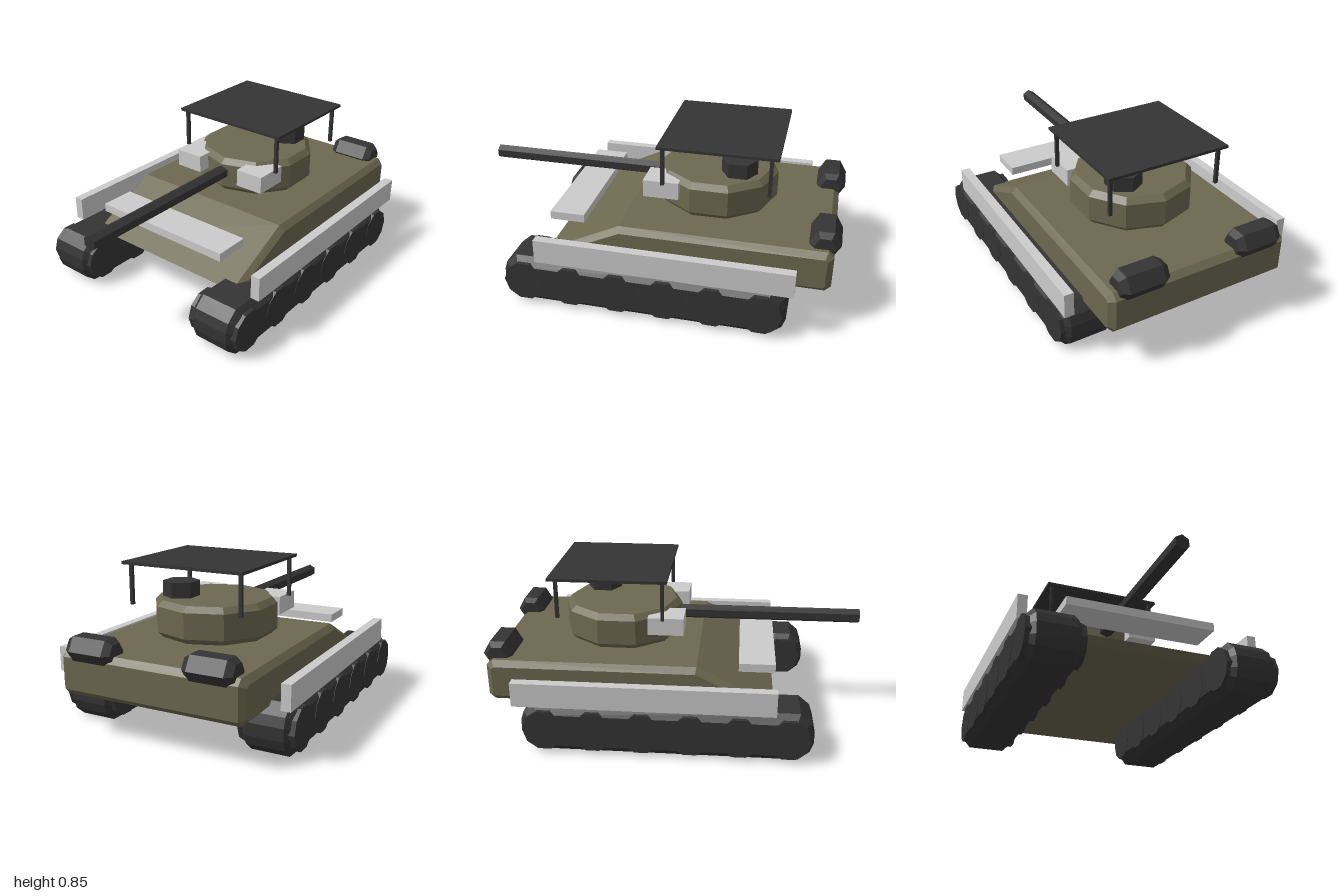
import * as THREE from 'three';
import { ConvexGeometry } from 'three/addons/geometries/ConvexGeometry.js';

const mat = (color) => new THREE.MeshStandardMaterial({ color, flatShading: true });

// Convex side profile ([z, y], counter-clockwise) widened along x, with its side edges bevelled.
function bevelledPrism(profile, halfWidth, bevel) {
  const pts = profile.map(([z, y]) => new THREE.Vector2(z, y));
  const out = [];
  pts.forEach((p, i) => {
    const d1 = p.clone().sub(pts[(i + pts.length - 1) % pts.length]).normalize();
    const d2 = pts[(i + 1) % pts.length].clone().sub(p).normalize();
    const inset = d2.clone().sub(d1).multiplyScalar(bevel / d1.cross(d2)).add(p);
    for (const s of [-1, 1]) {
      out.push(new THREE.Vector3(s * (halfWidth - bevel), p.y, p.x));
      out.push(new THREE.Vector3(s * halfWidth, inset.y, inset.x));
    }
  });
  return new ConvexGeometry(out);
}

// Faceted solid of revolution about y, from [radius, y] points.
const turned = (profile, sides) =>
  new THREE.LatheGeometry(profile.map(([r, y]) => new THREE.Vector2(r, y)), sides);

const prism = (r, length, sides) =>
  turned([[0, -length / 2], [r, -length / 2], [r, length / 2], [0, length / 2]], sides);

export function createModel() {
  const model = new THREE.Group();
  const olive = mat(0x6c6850), dark = mat(0x343434), grey = mat(0xcccccc);

  const add = (name, geometry, material, x = 0, y = 0, z = 0, parent = model) => {
    const mesh = new THREE.Mesh(geometry, material);
    mesh.name = name;
    mesh.position.set(x, y, z);
    parent.add(mesh);
    return mesh;
  };
  // Box given by its limits on each axis.
  const box = (name, material, x0, x1, y0, y1, z0, z1) =>
    add(name, new THREE.BoxGeometry(x1 - x0, y1 - y0, z1 - z0), material,
      (x0 + x1) / 2, (y0 + y1) / 2, (z0 + z1) / 2);

  // Hull with a sloping front
  add('hull', bevelledPrism([
    [-0.94, 0.215], [0.48, 0.215], [0.53, 0.245], [0.13, 0.44],
    [-0.94, 0.44], [-0.97, 0.41], [-0.97, 0.245],
  ], 0.51, 0.03), olive);
  box('frontPlate', grey, -0.41, 0.41, 0.39, 0.435, 0.345, 0.535);

  // Ten-sided turret with bevelled rims
  add('turret', turned([
    [0, 0.445], [0.298, 0.445], [0.328, 0.475], [0.328, 0.61], [0.298, 0.64], [0, 0.64],
  ], 10), olive, 0, 0, -0.308);
  add('gunBarrel', prism(0.04, 1.02, 6).rotateX(Math.PI / 2), dark, 0, 0.56, 0.49);
  add('hatch', prism(0.096, 0.08, 6), dark, 0.13, 0.69, -0.44);

  // Roof canopy
  box('canopy', dark, -0.342, 0.342, 0.83, 0.845, -0.66, -0.035);

  // Track loop, one end mirrored to the other
  const end = [[0.677, 0], [0.735, 0.05], [0.752, 0.1], [0.752, 0.165], [0.735, 0.215], [0.677, 0.265]];
  const loop = [...end, ...end.map(([z, y]) => [-z, 0.265 - y])];
  const trackGeometry = bevelledPrism(loop, 0.145, 0.045);
  const wheelGeometry = prism(0.112, 0.295, 10).rotateZ(Math.PI / 2);
  const drumGeometry = turned([
    [0, -0.13], [0.055, -0.13], [0.08, -0.095], [0.08, 0.095], [0.055, 0.13], [0, 0.13],
  ], 6).rotateZ(Math.PI / 2);

  for (const s of [-1, 1]) {
    const side = s > 0 ? 'left' : 'right';
    const sideBox = (name, material, x0, x1, ...rest) =>
      box(side + name, material, Math.min(s * x0, s * x1), Math.max(s * x0, s * x1), ...rest);

    // Running gear: wheels show through the bevel of the track
    const gear = new THREE.Group();
    gear.name = side + 'RunningGear';
    gear.position.set(s * 0.5075, 0, -0.017);
    model.add(gear);
    add(side + 'Track', trackGeometry, dark, 0, 0, 0, gear);
    for (let i = 0; i < 6; i++)
      add(side + 'Wheel', wheelGeometry, dark, 0, 0.1325, 0.625 - i * 0.25, gear);

    // Armour skirt, turret cheek block, rear drum and canopy posts
    sideBox('Skirt', grey, 0.605, 0.655, 0.265, 0.395, -0.8, 0.54);
    sideBox('CheekBlock', grey, 0.132, 0.295, 0.53, 0.625, -0.143, 0.048);
    add(side + 'RearDrum', drumGeometry, dark, s * 0.328, 0.45, -0.92);
    for (const z of [-0.062, -0.62])
      sideBox('CanopyPost', dark, 0.303, 0.321, 0.62, 0.83, z - 0.009, z + 0.009);
  }
  return model;
}
